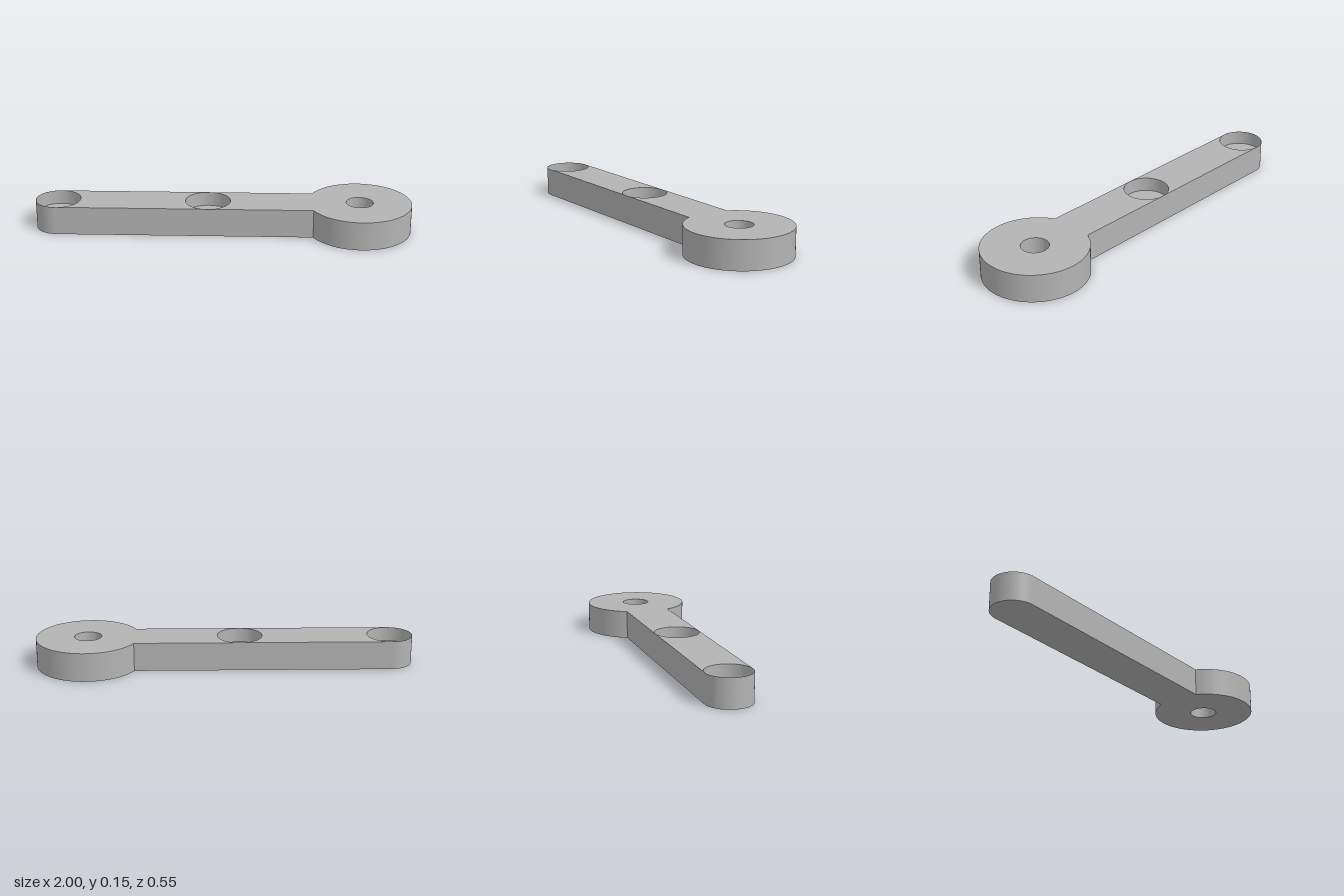
import * as THREE from 'three';
import { toCreasedNormals } from 'three/addons/utils/BufferGeometryUtils.js';

const H = 0.153;          // thickness
const FLOOR = 0.077;      // pocket floor height
const ARM_R = 0.12;       // half width and end radius of the arm
const ARM_END = -0.88;
const HEAD_X = 0.725, HEAD_R = 0.275, BORE_R = 0.072;
const POCKET_R = 0.1195;  // leaves a paper-thin rim at the arm edges
const POCKETS = [ARM_END, -0.08];
const SEG = 64;

// Evenly spaced anticlockwise circle points, first point not repeated
function circle(x, r) {
  return Array.from({ length: SEG }, (_, i) => {
    const t = (i / SEG) * Math.PI * 2;
    return new THREE.Vector2(x + r * Math.cos(t), r * Math.sin(t));
  });
}

// Upright wall along a closed loop; anticlockwise loops face outward
function wall(points, y0, y1) {
  const pos = [];
  points.forEach((a, i) => {
    const b = points[(i + 1) % points.length];
    pos.push(a.x, y0, -a.y, b.x, y0, -b.y, b.x, y1, -b.y);
    pos.push(a.x, y0, -a.y, b.x, y1, -b.y, a.x, y1, -a.y);
  });
  const g = new THREE.BufferGeometry();
  g.setAttribute('position', new THREE.Float32BufferAttribute(pos, 3));
  return toCreasedNormals(g, 0.6);
}

// Flat horizontal face with optional holes
function face(points, holes, y, up) {
  const shape = new THREE.Shape(points);
  shape.holes = holes.map((h) => new THREE.Path(h));
  return new THREE.ShapeGeometry(shape)
    .rotateX(up ? -Math.PI / 2 : Math.PI / 2)
    .translate(0, y, 0);
}

export function createModel() {
  const group = new THREE.Group();
  group.name = 'leverArm';
  const grey = new THREE.MeshStandardMaterial({ color: 0xb3b3b3 });
  grey.name = 'plain grey';
  const add = (name, geometry) => {
    const mesh = new THREE.Mesh(geometry, grey);
    mesh.name = name;
    group.add(mesh);
  };

  // Outline: round head running into a straight arm with a rounded end
  const join = Math.PI - Math.asin(ARM_R / HEAD_R);
  const path = new THREE.Shape();
  path.absarc(HEAD_X, 0, HEAD_R, -join, join, false);
  path.absarc(ARM_END, 0, ARM_R, Math.PI / 2, Math.PI * 1.5, false);
  const outline = path.getPoints(SEG);

  const bore = circle(HEAD_X, BORE_R);
  const pockets = POCKETS.map((x) => circle(x, POCKET_R));

  // Body shell
  add('outerWall', wall(outline, 0, H));
  add('topFace', face(outline, [bore, ...pockets], H, true));
  add('bottomFace', face(outline, [bore], 0, false));

  // Through hole in the head
  add('boreWall', wall([...bore].reverse(), 0, H));

  // Blind round pockets in the arm
  pockets.forEach((p, i) => {
    const name = i === 0 ? 'endPocket' : 'middlePocket';
    add(name + 'Wall', wall([...p].reverse(), FLOOR, H));
    add(name + 'Floor', face(p, [], FLOOR, true));
  });

  return group;
}
